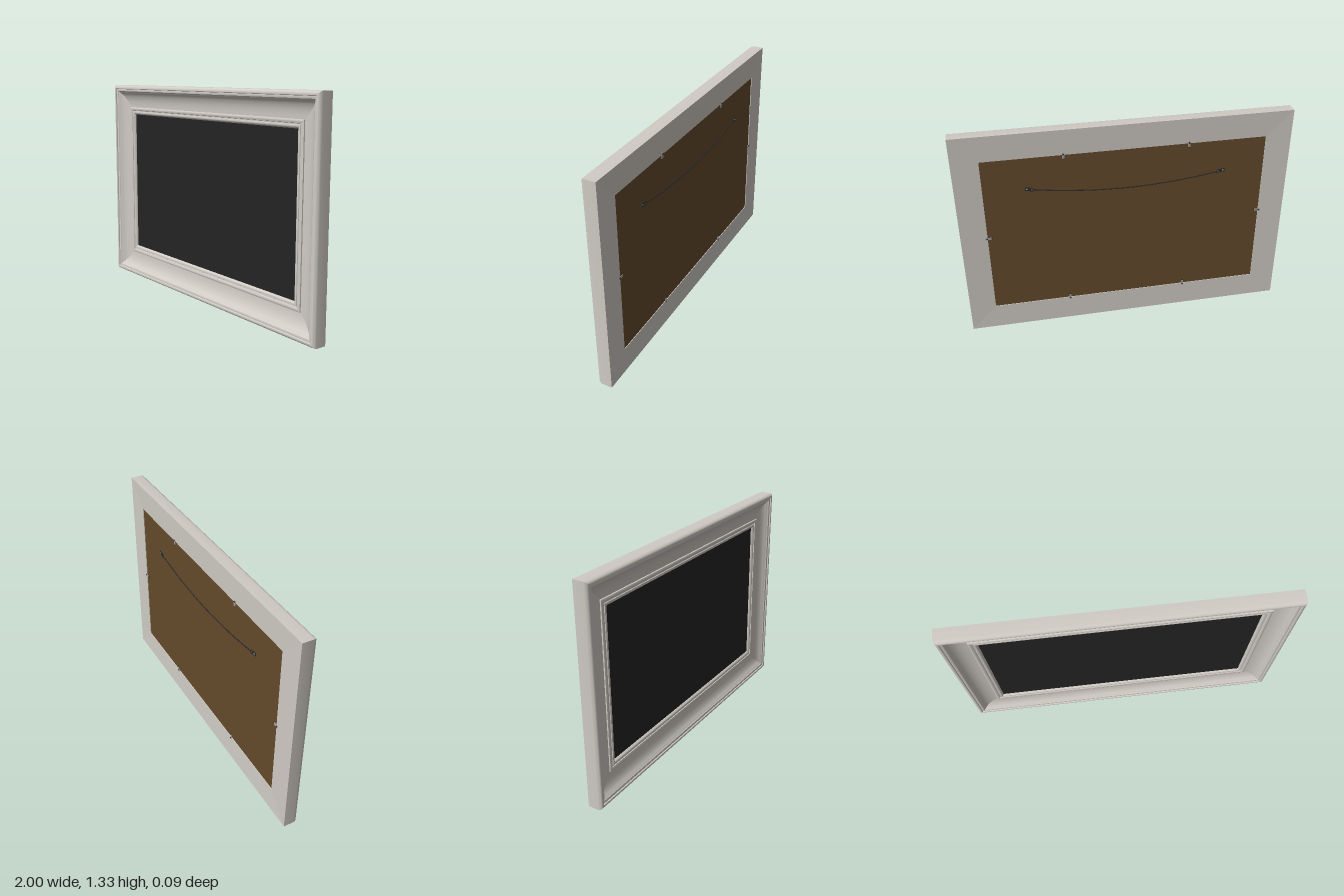
import * as THREE from 'three';
import { mergeGeometries, toCreasedNormals } from 'three/addons/utils/BufferGeometryUtils.js';

const H = 1.333;

function material(name, color) {
  const m = new THREE.MeshStandardMaterial({ color });
  m.name = name;
  return m;
}

// Moulding section as [inset from outer edge, z], from outer back round to back again
const profile = [
  [0, -0.045], [0, 0.022], [0.002, 0.031], [0.007, 0.039], [0.014, 0.044], [0.02, 0.045], [0.025, 0.043],
  [0.027, 0.036], [0.034, 0.037], [0.041, 0.035], [0.045, 0.029],
  [0.05, 0.026], [0.057, 0.019], [0.066, 0.012], [0.078, 0.006], [0.093, 0], [0.11, -0.004], [0.13, -0.007], [0.15, -0.008],
  [0.151, -0.001], [0.157, 0.002], [0.164, 0.002], [0.17, -0.001], [0.172, -0.006],
  [0.178, -0.006], [0.18, -0.002], [0.187, -0.001], [0.194, -0.003], [0.199, -0.009],
  [0.2, -0.015], [0.2, -0.02], [0.157, -0.02], [0.157, -0.041], [0, -0.045],
];

// One mitred rail between corner k and the next corner
function railGeometry(k) {
  const signs = [[-1, -1], [1, -1], [1, 1], [-1, 1]];
  const point = (c, [d, z]) => {
    const [sx, sy] = signs[c % 4];
    return [sx * (1 - d), H / 2 + sy * (H / 2 - d), z];
  };
  const pos = [];
  for (let i = 0; i < profile.length - 1; i++) {
    const a = point(k, profile[i]), b = point(k + 1, profile[i]);
    const c = point(k + 1, profile[i + 1]), d = point(k, profile[i + 1]);
    pos.push(...a, ...b, ...c, ...a, ...c, ...d);
  }
  const g = new THREE.BufferGeometry();
  g.setAttribute('position', new THREE.Float32BufferAttribute(pos, 3));
  return toCreasedNormals(g, 0.65);
}

export function createModel() {
  const paint = material('warm white paint', 0xd0cbc4);
  const black = material('black picture', 0x242424);
  const brown = material('brown backing', 0x634a2b);
  const steel = material('steel', 0xa0a0a0);
  const dark = material('dark metal', 0x2c2c2c);

  const model = new THREE.Group();
  model.name = 'pictureFrame';
  const add = (parent, name, geometry, mat, x = 0, y = 0, z = 0) => {
    const mesh = new THREE.Mesh(geometry, mat);
    mesh.name = name;
    mesh.position.set(x, y, z);
    parent.add(mesh);
    return mesh;
  };

  // Mitred moulding, picture and backing board
  add(model, 'moulding', mergeGeometries([0, 1, 2, 3].map(railGeometry)), paint);
  add(model, 'picture', new THREE.BoxGeometry(1.64, H - 0.36, 0.005), black, 0, H / 2, -0.0175);
  add(model, 'backingBoard', new THREE.BoxGeometry(1.686, H - 0.314, 0.016), brown, 0, H / 2, -0.029);

  // Retaining clips along the inner back edge, long side across the joint
  const clipPlate = new THREE.BoxGeometry(0.014, 0.036, 0.003);
  const screw = new THREE.CylinderGeometry(0.005, 0.005, 0.003, 12).rotateX(Math.PI / 2);
  const clips = [
    [-0.37, H - 0.162, 0], [0.37, H - 0.162, 0], [-0.37, 0.162, Math.PI], [0.37, 0.162, Math.PI],
    [-0.838, H / 2, Math.PI / 2], [0.838, H / 2, -Math.PI / 2],
  ];
  for (const [x, y, turn] of clips) {
    const clip = new THREE.Group();
    clip.name = 'retainingClip';
    add(clip, 'clipPlate', clipPlate, steel);
    add(clip, 'clipTip', new THREE.BoxGeometry(0.012, 0.008, 0.004), dark, 0, -0.018, 0.002);
    add(clip, 'clipScrew', screw, dark, 0, 0.009, -0.002);
    clip.position.set(x, y, -0.0415);
    clip.rotation.z = turn;
    model.add(clip);
  }

  // Hangers with rings, mirrored left and right
  for (const s of [-1, 1]) {
    const hanger = new THREE.Group();
    hanger.name = s > 0 ? 'leftHanger' : 'rightHanger';
    add(hanger, 'hangerPlate', new THREE.BoxGeometry(0.034, 0.022, 0.004), dark, s * 0.008, 0, 0);
    add(hanger, 'hangerScrew', screw, steel, s * 0.014, 0, -0.002);
    add(hanger, 'hangerRing', new THREE.TorusGeometry(0.011, 0.0025, 8, 20), dark, s * -0.015, -0.002, -0.001);
    hanger.position.set(s * 0.575, 0.975, -0.039);
    hanger.rotation.z = s * 0.15;
    model.add(hanger);
  }

  // Slack hanging wire
  const wire = new THREE.QuadraticBezierCurve3(
    new THREE.Vector3(-0.55, 0.97, -0.04),
    new THREE.Vector3(0, 0.875, -0.04),
    new THREE.Vector3(0.55, 0.97, -0.04),
  );
  add(model, 'hangingWire', new THREE.TubeGeometry(wire, 40, 0.0035, 8), dark);
  return model;
}
